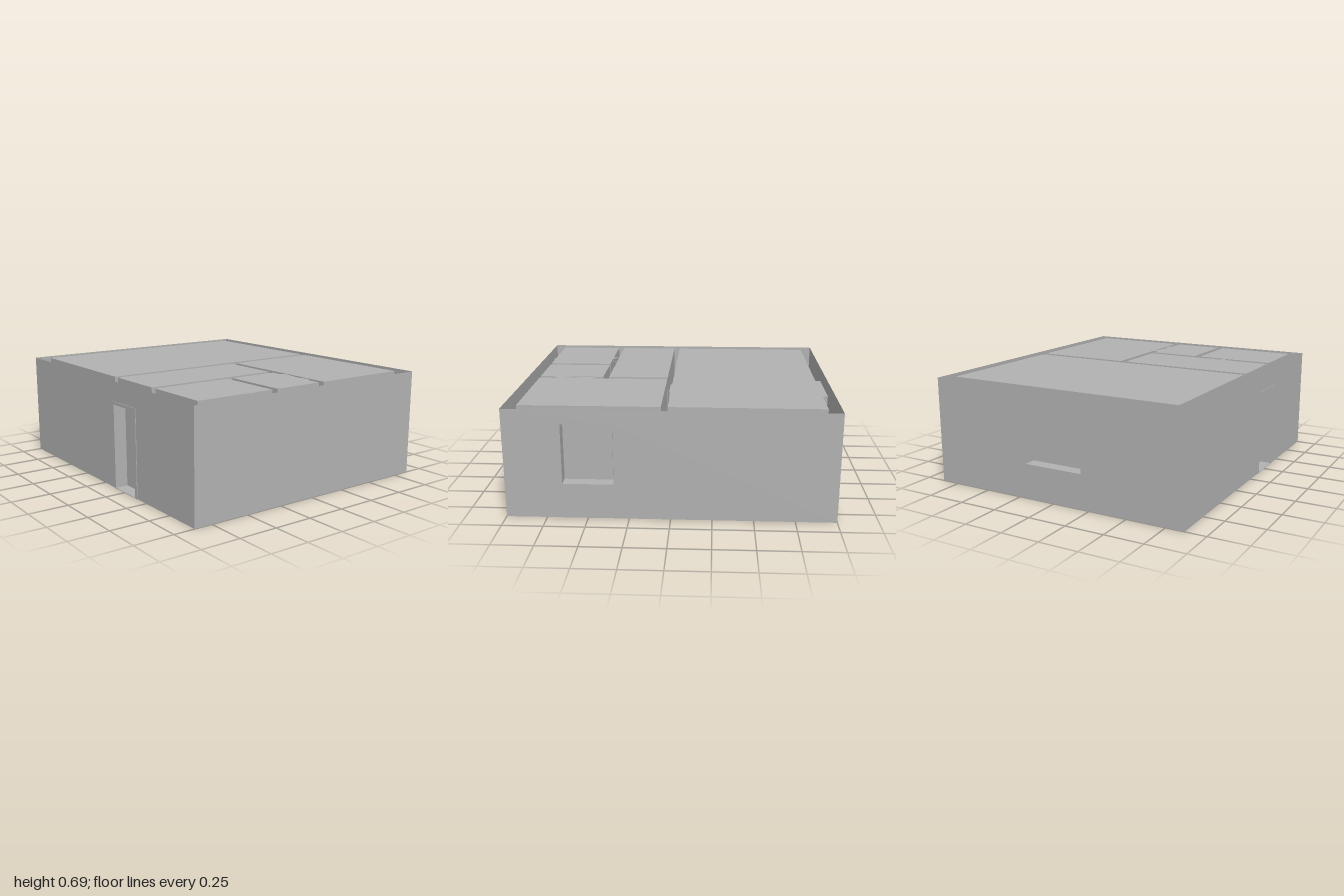
import * as THREE from 'three';

export function createModel() {
  const house = new THREE.Group();
  house.name = 'house';
  const grey = new THREE.MeshStandardMaterial({ color: 0xb2b2b2, side: THREE.DoubleSide });
  grey.name = 'plainGrey';

  const H = 0.685, DOOR = 0.54;       // wall and door heights
  const X = 1, ZB = -0.87, ZF = 0.866; // outer wall planes
  const WIN = [0.22, 0.595];           // window bottom and top

  const add = (name, geometry, x = 0, y = 0, z = 0) => {
    const mesh = new THREE.Mesh(geometry, grey);
    mesh.name = name;
    mesh.position.set(x, y, z);
    house.add(mesh);
    return mesh;
  };
  const box = (name, x0, x1, y0, y1, z0, z1) =>
    add(name, new THREE.BoxGeometry(x1 - x0, y1 - y0, z1 - z0),
      (x0 + x1) / 2, (y0 + y1) / 2, (z0 + z1) / 2);
  const polygon = (points) => new THREE.Shape(points.map(([a, b]) => new THREE.Vector2(a, b)));
  const rect = (a0, a1, b0, b1) => polygon([[a0, b0], [a1, b0], [a1, b1], [a0, b1]]);

  // A flat wall with an optional rectangular opening
  const wall = (name, a0, a1, opening) => {
    const shape = rect(a0, a1, 0, H);
    if (opening) shape.holes.push(rect(...opening));
    return add(name, new THREE.ShapeGeometry(shape));
  };
  wall('frontWall', -X, X, [0.145, 0.38, 0.004, DOOR]).position.z = ZF;
  wall('backWall', -X, X, [0.34, 0.65, ...WIN]).position.z = ZB;
  // Side walls: the shape's horizontal axis becomes -z
  for (const [name, x, opening] of [
    ['leftWall', X, null],
    ['rightWall', -X, [-0.195, 0.2, ...WIN]],
  ]) {
    const side = wall(name, -ZF, -ZB, opening);
    side.rotation.y = Math.PI / 2;
    side.position.x = x;
  }

  // Closed rooms inside the outer walls
  for (const [name, x0, x1, z0, z1] of [
    ['livingRoom', -0.92, 0.02, -0.79, 0.785],
    ['bedroom', 0.06, 0.92, -0.79, -0.15],
    ['hall', 0.06, 0.455, -0.11, 0.785],
    ['bathroom', 0.495, 0.92, -0.11, 0.22],
    ['study', 0.495, 0.92, 0.26, 0.785],
  ]) box(name, x0, x1, 0, H, z0, z1);

  // Openings through the wall thickness: four sides, open at both ends
  const tunnel = (name, x0, x1, y0, y1, z0, z1, alongX) => {
    const w = x1 - x0, h = y1 - y0, d = z1 - z0, g = new THREE.Group();
    g.name = name;
    g.position.set((x0 + x1) / 2, (y0 + y1) / 2, (z0 + z1) / 2);
    const plane = (part, a, b, pos, rx, ry) => {
      const m = new THREE.Mesh(new THREE.PlaneGeometry(a, b), grey);
      m.name = part;
      m.position.set(...pos);
      m.rotation.set(rx, ry, 0);
      g.add(m);
    };
    for (const s of [-1, 1]) {
      plane(s < 0 ? 'sill' : 'lintel', w, d, [0, s * h / 2, 0], -s * Math.PI / 2, 0);
      if (alongX) plane('jamb', w, h, [0, 0, s * d / 2], 0, 0);
      else plane('jamb', d, h, [s * w / 2, 0, 0], 0, Math.PI / 2);
    }
    house.add(g);
  };
  tunnel('livingDoorway', 0.02, 0.06, 0, DOOR, 0.05, 0.255, true);
  tunnel('bedroomDoorway', 0.155, 0.365, 0, DOOR, -0.15, -0.11, false);
  tunnel('bathroomDoorway', 0.455, 0.495, 0, DOOR, -0.045, 0.135, true);
  tunnel('studyDoorway', 0.455, 0.495, 0, DOOR, 0.44, 0.615, true);
  tunnel('frontDoorway', 0.143, 0.382, 0.003, DOOR, 0.785, ZF, false);
  tunnel('backWindowReveal', 0.34, 0.65, ...WIN, ZB, -0.79, false);
  tunnel('rightWindowReveal', -X, -0.92, ...WIN, -0.2, 0.195, true);

  // Thin door surround
  const trim = rect(0.12, 0.402, 0, 0.56);
  trim.holes.push(rect(0.145, 0.38, 0.004, DOOR));
  add('doorSurround', new THREE.ExtrudeGeometry(trim, { depth: 0.004, bevelEnabled: false }), 0, 0, ZF);
  box('frontDoor', 0.15, 0.375, 0.01, 0.535, 0.785, 0.79);

  // Sliding window panes, one just in front of the other
  const [wb, wt] = [WIN[0] + 0.01, WIN[1] - 0.01];
  box('backWindowPane', 0.35, 0.497, wb, wt, -0.805, -0.79);
  box('backWindowPane', 0.493, 0.64, wb, wt, -0.798, -0.79);
  box('rightWindowPane', -0.935, -0.92, wb, wt, -0.19, 0);
  box('rightWindowPane', -0.928, -0.92, wb, wt, -0.005, 0.185);

  // Small uneven ceiling edges reaching into the wall gaps
  for (const points of [
    [[0.545, -0.11], [0.555, -0.115], [0.565, -0.15], [0.72, -0.125], [0.77, -0.145],
      [0.8, -0.15], [0.81, -0.12], [0.825, -0.11]],
    [[0.455, 0.34], [0.495, 0.375], [0.495, 0.37], [0.455, 0.325]],
    [[0.455, 0.465], [0.495, 0.42], [0.495, 0.465]],
    [[0.92, 0.375], [0.932, 0.39], [0.92, 0.455]],
  ]) {
    add('ceilingEdge', new THREE.ShapeGeometry(polygon(points)), 0, H - 0.002, 0)
      .rotation.x = Math.PI / 2;
  }
  return house;
}
